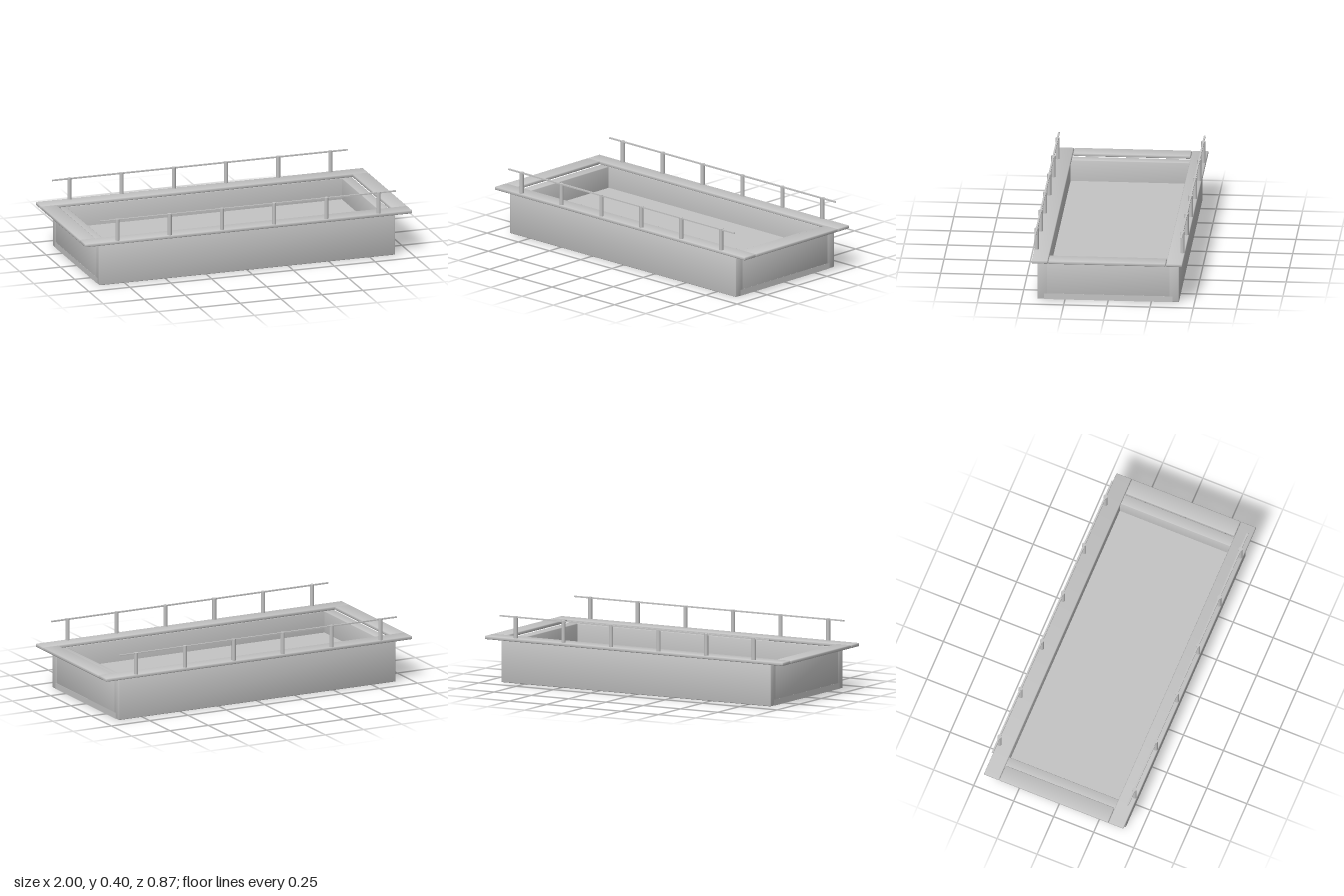
import * as THREE from 'three';
import { RoundedBoxGeometry } from 'three/addons/geometries/RoundedBoxGeometry.js';

// Box with a narrow bevel, shaded softly: normals lean outward at every corner
function softBox(w, h, d, bevel) {
  const geometry = new RoundedBoxGeometry(w, h, d, 1, bevel);
  const { position, normal } = geometry.attributes;
  const n = new THREE.Vector3();
  const lean = 0.25;
  for (let i = 0; i < position.count; i++) {
    n.fromBufferAttribute(normal, i);
    n.x += lean * Math.sign(position.getX(i));
    n.y += lean * Math.sign(position.getY(i));
    n.z += lean * Math.sign(position.getZ(i));
    n.normalize();
    normal.setXYZ(i, n.x, n.y, n.z);
  }
  return geometry;
}

export function createModel() {
  const model = new THREE.Group();
  model.name = 'railedTray';
  const grey = new THREE.MeshStandardMaterial({ color: 0xc4c4c4 });
  grey.name = 'plain grey';

  const add = (name, geometry, x, y, z) => {
    const mesh = new THREE.Mesh(geometry, grey);
    mesh.name = name;
    mesh.position.set(x, y, z);
    model.add(mesh);
  };
  // Panel given by its extents, bevelled when a bevel is given
  const panel = (name, [x0, x1], [y0, y1], [z0, z1], bevel = 0) => {
    const size = [x1 - x0, y1 - y0, z1 - z0];
    const geometry = bevel ? softBox(...size, bevel) : new THREE.BoxGeometry(...size);
    add(name, geometry, (x0 + x1) / 2, (y0 + y1) / 2, (z0 + z1) / 2);
  };
  const span = (side, a, b) => (side > 0 ? [a, b] : [-b, -a]);

  // Base slab between the side walls, and the raised floor filling the basin
  panel('base', [-0.9045, 0.9045], [0, 0.035], [-0.372, 0.372]);
  panel('raisedFloor', [-0.86, 0.86], [0.035, 0.118], [-0.372, 0.372]);

  for (const side of [-1, 1]) {
    const end = side > 0 ? 'left' : 'right';
    const face = side > 0 ? 'front' : 'back';

    // Walls of the tray
    panel(face + 'Wall', [-0.904, 0.904], [0, 0.246], span(side, 0.35, 0.41), 0.004);
    panel(end + 'EndWall', span(side, 0.842, 0.904), [0.025, 0.246], [-0.358, 0.358], 0.004);

    // Rim planks: long ones run full length, short ones fit between them
    panel(face + 'RimPlank', [-1, 1], [0.247, 0.267], span(side, 0.342, 0.436), 0.005);
    panel(end + 'RimPlank', span(side, 0.904, 1), [0.247, 0.267], [-0.34, 0.34], 0.005);

    // Railing: six posts carrying a thin bar
    for (let i = 0; i < 6; i++) {
      add(face + 'RailPost', new THREE.CylinderGeometry(0.0125, 0.0125, 0.13, 8),
        -0.798 + i * 0.3192, 0.33, side * 0.422);
    }
    panel(face + 'HandRail', [-0.904, 0.904], [0.386, 0.394], span(side, 0.417, 0.427));
  }
  return model;
}
